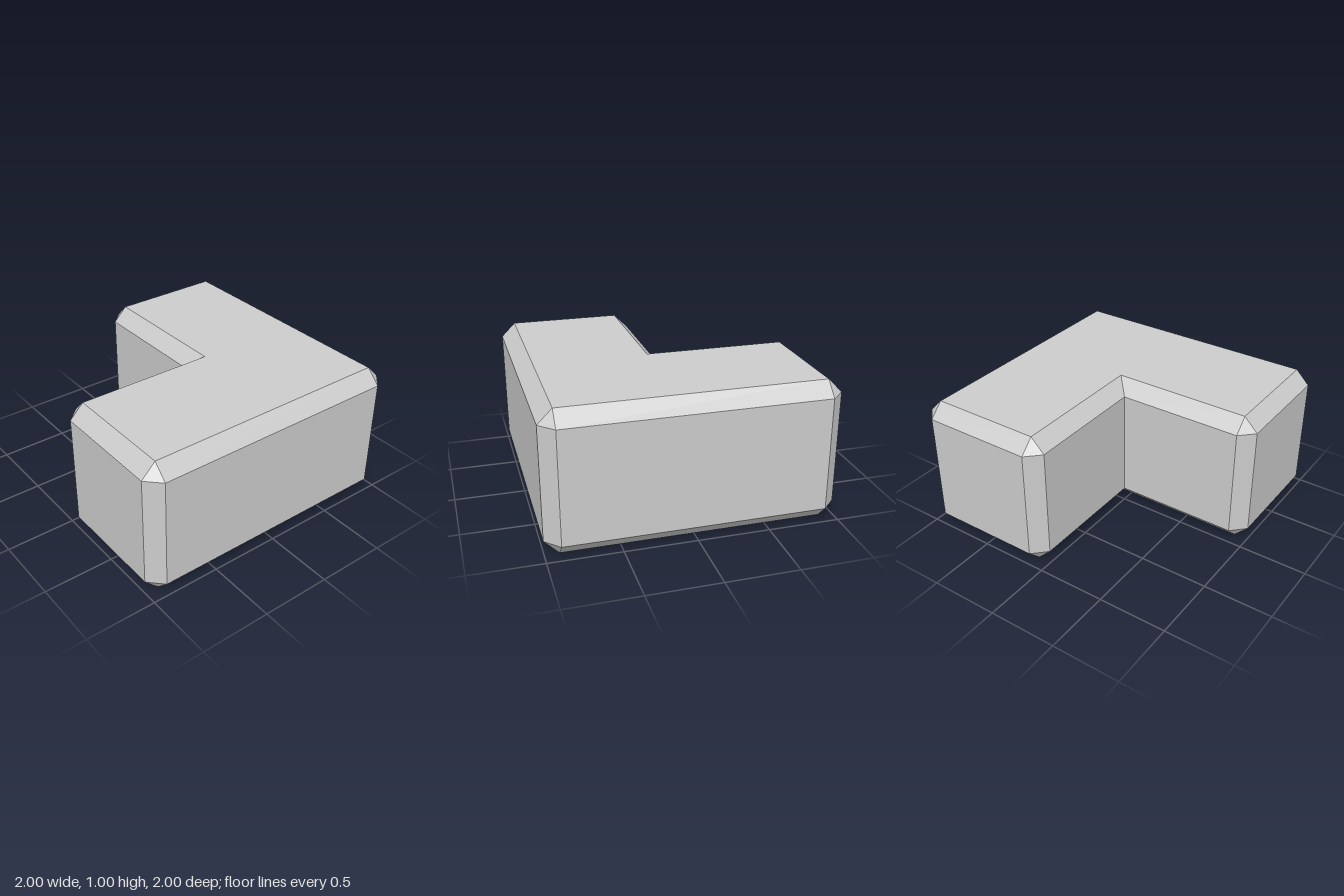
import * as THREE from 'three';

const BEVEL = 0.1;
const HEIGHT = 1;

// L-shaped outline in (x, z), counterclockwise seen from above
const OUTLINE = [[-1, -1], [-1, 0], [0, 0], [0, 1], [1, 1], [1, -1]]
  .map(([x, z]) => new THREE.Vector2(x, z));
const INNER = 2; // index of the inward corner

// Block with every outer edge chamfered, lofted through four rings
function chamferedBlock(outline, inner, height, bevel) {
  const count = outline.length;
  const cap = [];    // inset outline of the top and bottom faces
  const loop = [];   // wall points, each with the cap corner it slopes to
  outline.forEach((p, i) => {
    const normal = (a, b) => {
      const d = b.clone().sub(a).normalize();
      return new THREE.Vector2(-d.y, d.x);
    };
    const n1 = normal(outline[(i + count - 1) % count], p);
    const n2 = normal(p, outline[(i + 1) % count]);
    const inset = p.clone().addScaledVector(n1, -bevel).addScaledVector(n2, -bevel);
    cap.push(inset);
    if (i === inner) loop.push({ wall: p, cap: inset });
    else for (const n of [n1, n2]) loop.push({ wall: inset.clone().addScaledVector(n, bevel), cap: inset });
  });

  const positions = [];
  const at = (p, y) => [p.x, y, p.y];
  const tri = (a, b, c) => positions.push(...a, ...b, ...c);
  const quad = (a, b, c, d) => { tri(a, b, c); tri(a, c, d); };

  loop.forEach((a, i) => {
    const b = loop[(i + 1) % loop.length];
    const low = bevel, high = height - bevel;
    // wall or vertical chamfer
    quad(at(a.wall, low), at(b.wall, low), at(b.wall, high), at(a.wall, high));
    if (a.cap === b.cap) {
      // corner triangles
      tri(at(a.wall, high), at(b.wall, high), at(a.cap, height));
      tri(at(b.wall, low), at(a.wall, low), at(a.cap, 0));
    } else {
      // sloped edges
      quad(at(a.wall, high), at(b.wall, high), at(b.cap, height), at(a.cap, height));
      quad(at(a.cap, 0), at(b.cap, 0), at(b.wall, low), at(a.wall, low));
    }
  });

  // top and bottom, fanned from the inward corner
  for (let k = 1; k < count - 1; k++) {
    const [o, a, b] = [inner, (inner + k) % count, (inner + k + 1) % count].map((i) => cap[i]);
    tri(at(o, height), at(a, height), at(b, height));
    tri(at(o, 0), at(b, 0), at(a, 0));
  }

  const geometry = new THREE.BufferGeometry();
  geometry.setAttribute('position', new THREE.Float32BufferAttribute(positions, 3));
  geometry.computeVertexNormals();
  return geometry;
}

export function createModel() {
  const group = new THREE.Group();
  group.name = 'cornerBlock';
  const block = new THREE.Mesh(
    chamferedBlock(OUTLINE, INNER, HEIGHT, BEVEL),
    new THREE.MeshStandardMaterial({ color: 0xcccccc, flatShading: true })
  );
  block.name = 'chamferedLBlock';
  group.add(block);
  return group;
}
